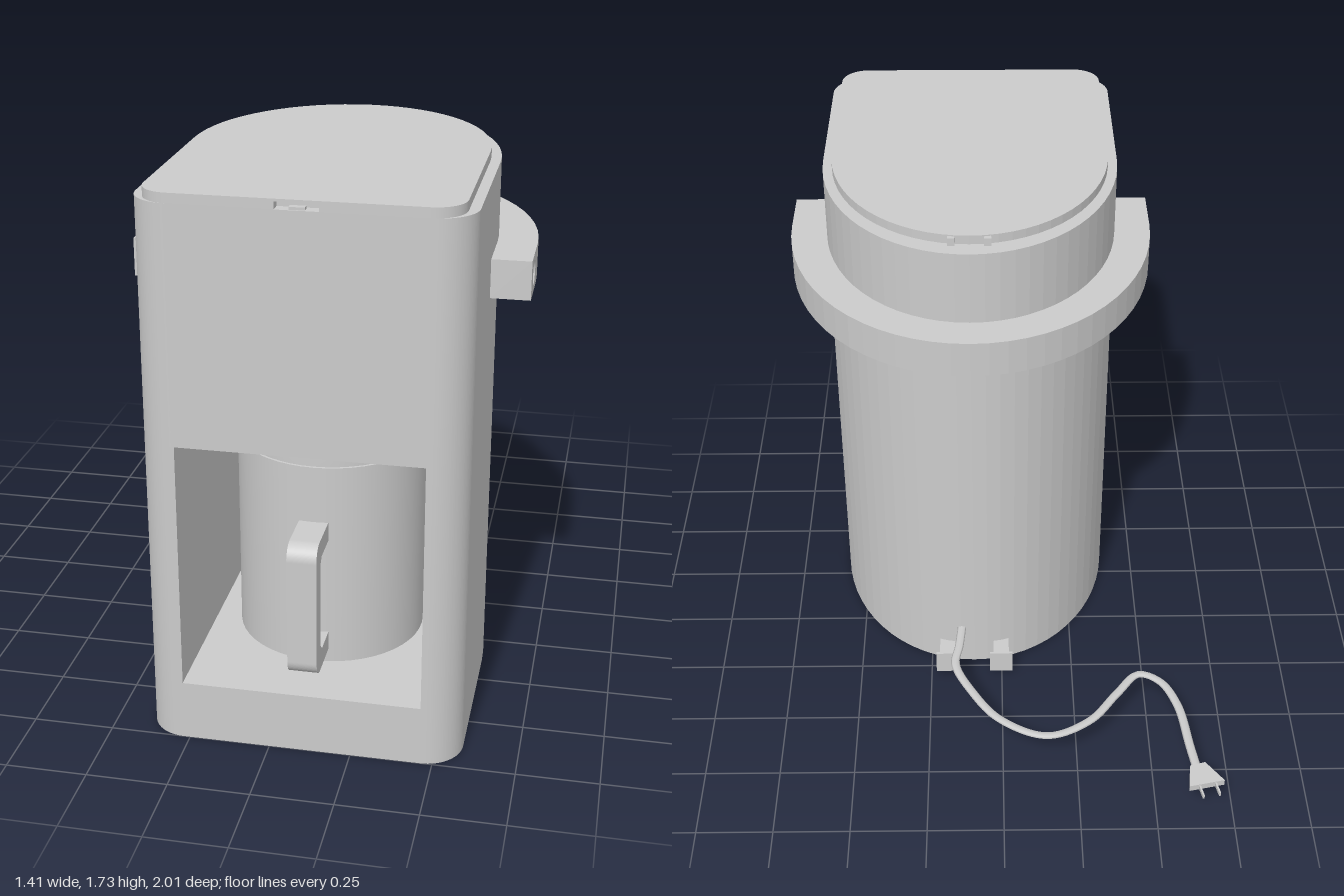
import * as THREE from 'three';

const CX = 0.0975, ZC = 0.38; // centre of the body, start of its rounded back
const mat = new THREE.MeshStandardMaterial({ color: 0xcccccc });
const matDouble = new THREE.MeshStandardMaterial({ color: 0xcccccc, side: THREE.DoubleSide });

function add(parent, name, geometry, x = 0, y = 0, z = 0, material = mat) {
  const mesh = new THREE.Mesh(geometry, material);
  mesh.name = name;
  mesh.position.set(x, y, z);
  parent.add(mesh);
  return mesh;
}

// Plan shapes use (x, -z); this raises them from y0 to y1
function raise(shape, y0, y1) {
  return new THREE.ExtrudeGeometry(shape, { depth: y1 - y0, bevelEnabled: false, curveSegments: 16 })
    .rotateX(-Math.PI / 2).translate(0, y0, 0);
}

// Shape drawn in (-z, y), extruded along x and centred there
function across(shape, width) {
  return new THREE.ExtrudeGeometry(shape, { depth: width, bevelEnabled: false, curveSegments: 12 })
    .translate(0, 0, -width / 2).rotateY(Math.PI / 2);
}

// D-shaped plan: elliptical back, rounded front corners, optional slot cut from the front
function plan(w, back, r, slotHalf, slotZ) {
  const s = new THREE.Shape();
  s.absellipse(CX, -ZC, w, back, 0, Math.PI, false);
  s.lineTo(CX - w, -1 + r);
  s.absarc(CX - w + r, -1 + r, r, Math.PI, 1.5 * Math.PI, false);
  if (slotHalf) {
    s.lineTo(CX - slotHalf, -1);
    s.lineTo(CX - slotHalf, -slotZ);
    s.lineTo(CX + slotHalf, -slotZ);
    s.lineTo(CX + slotHalf, -1);
  }
  s.absarc(CX + w - r, -1 + r, r, 1.5 * Math.PI, 2 * Math.PI, false);
  s.closePath();
  return s;
}

export function createModel() {
  const model = new THREE.Group();
  model.name = 'coffeeMaker';

  // Body: base, walls around the open bay, and upper housing
  const body = new THREE.Group();
  body.name = 'body';
  model.add(body);
  add(body, 'base', raise(plan(0.483, 0.6, 0.115), 0, 0.19));
  add(body, 'bayWalls', raise(plan(0.483, 0.6, 0.115, 0.365, 0.17), 0.19, 0.975));
  add(body, 'upperHousing', raise(plan(0.483, 0.6, 0.115), 0.975, 1.7));

  // Lid with a finger recess at the front and hinge knuckles at the back
  const lid = new THREE.Group();
  lid.name = 'lid';
  model.add(lid);
  add(lid, 'lidLower', raise(plan(0.4525, 0.54, 0.09, 0.062, 0.965), 1.7, 1.722));
  add(lid, 'lidTop', raise(plan(0.4525, 0.54, 0.09), 1.722, 1.73));
  add(lid, 'latch', new THREE.BoxGeometry(0.045, 0.008, 0.02), CX, 1.704, 0.985);
  for (const side of [-1, 1])
    add(lid, 'hingeKnuckle', new THREE.BoxGeometry(0.022, 0.026, 0.025), CX + side * 0.056, 1.713, -0.157);

  // Carrying band: curved rear part plus two arm ends with conical dimples
  const band = new THREE.Group();
  band.name = 'carryBand';
  model.add(band);
  const arch = new THREE.Shape();
  arch.absellipse(CX, -ZC, 0.603, 0.717, 0, Math.PI, false);
  arch.absellipse(CX, -ZC, 0.482, 0.598, Math.PI, 0, true);
  arch.closePath();
  add(band, 'bandArch', raise(arch, 1.335, 1.455));
  const arm = new THREE.Shape([[-0.56, 1.335], [-ZC, 1.335], [-ZC, 1.455], [-0.56, 1.455]]
    .map(([u, v]) => new THREE.Vector2(u, v)));
  const hole = new THREE.Path();
  hole.absarc(-0.475, 1.395, 0.038, 0, 2 * Math.PI, true);
  arm.holes.push(hole);
  for (const side of [-1, 1]) {
    add(band, 'bandArm', across(arm, 0.121), CX + side * 0.5425);
    const cone = new THREE.ConeGeometry(0.038, 0.05, 24, 1, true).rotateZ(side * Math.PI / 2);
    add(band, 'armDimple', cone, CX + side * 0.578, 1.395, 0.475, matDouble);
  }

  // Carafe standing in the bay
  const carafe = new THREE.Group();
  carafe.name = 'carafe';
  carafe.position.set(CX, 0, 0.5);
  model.add(carafe);
  add(carafe, 'carafeBody', new THREE.CylinderGeometry(0.295, 0.295, 0.66, 48), 0, 0.52, 0);
  const lidProfile = [[0.287, 0.84], [0.287, 0.935], [0.282, 0.953], [0.27, 0.965], [0.255, 0.97], [0, 0.97]]
    .map(([r, y]) => new THREE.Vector2(r, y));
  add(carafe, 'carafeLid', new THREE.LatheGeometry(lidProfile, 48));

  // C-shaped grip on the carafe
  const grip = new THREE.Shape();
  grip.moveTo(-0.27, 0.235);
  grip.lineTo(-0.42, 0.235);
  grip.absarc(-0.42, 0.285, 0.05, 1.5 * Math.PI, Math.PI, true);
  grip.lineTo(-0.47, 0.62);
  grip.absarc(-0.42, 0.62, 0.05, Math.PI, 0.5 * Math.PI, true);
  grip.lineTo(-0.27, 0.67);
  grip.lineTo(-0.27, 0.61);
  grip.lineTo(-0.39, 0.61);
  grip.lineTo(-0.41, 0.59);
  grip.lineTo(-0.41, 0.315);
  grip.lineTo(-0.39, 0.295);
  grip.lineTo(-0.27, 0.295);
  grip.closePath();
  add(carafe, 'carafeGrip', across(grip, 0.09));

  // Cord-wrap pegs low on the back
  for (const side of [-1, 1]) {
    const peg = new THREE.Group();
    peg.name = 'cordPeg';
    peg.position.set(CX + side * 0.095, 0.058, 0);
    model.add(peg);
    add(peg, 'pegStem', new THREE.BoxGeometry(0.055, 0.055, 0.11), 0, 0, -0.232);
    add(peg, 'pegFlange', new THREE.BoxGeometry(0.08, 0.085, 0.008), 0, 0, -0.288);
  }

  // Flat power cord lying in a wave
  const path = new THREE.CatmullRomCurve3([
    [0.14, -0.2], [0.15, -0.31], [0.162, -0.4], [0.105, -0.53], [0.01, -0.66], [-0.145, -0.735],
    [-0.29, -0.67], [-0.39, -0.545], [-0.47, -0.455], [-0.54, -0.49], [-0.59, -0.6],
    [-0.615, -0.79], [-0.63, -0.9],
  ].map(([x, z]) => new THREE.Vector3(x, 0, z)));
  add(model, 'cord', new THREE.TubeGeometry(path, 90, 0.015, 8).scale(1, 0.45, 1), 0, 0.156, 0);

  // Plug with two prongs
  const plug = new THREE.Group();
  plug.name = 'plug';
  model.add(plug);
  const shell = new THREE.Shape([[-0.655, 0.868], [-0.605, 0.882], [-0.595, 0.97], [-0.71, 0.945]]
    .map(([x, y]) => new THREE.Vector2(x, y)));
  add(plug, 'plugShell', raise(shell, 0.148, 0.17));
  for (const [x, z] of [[-0.685, -0.97], [-0.632, -0.98]])
    add(plug, 'prong', new THREE.BoxGeometry(0.006, 0.014, 0.05), x, 0.159, z).rotation.y = 0.2;

  return model;
}
